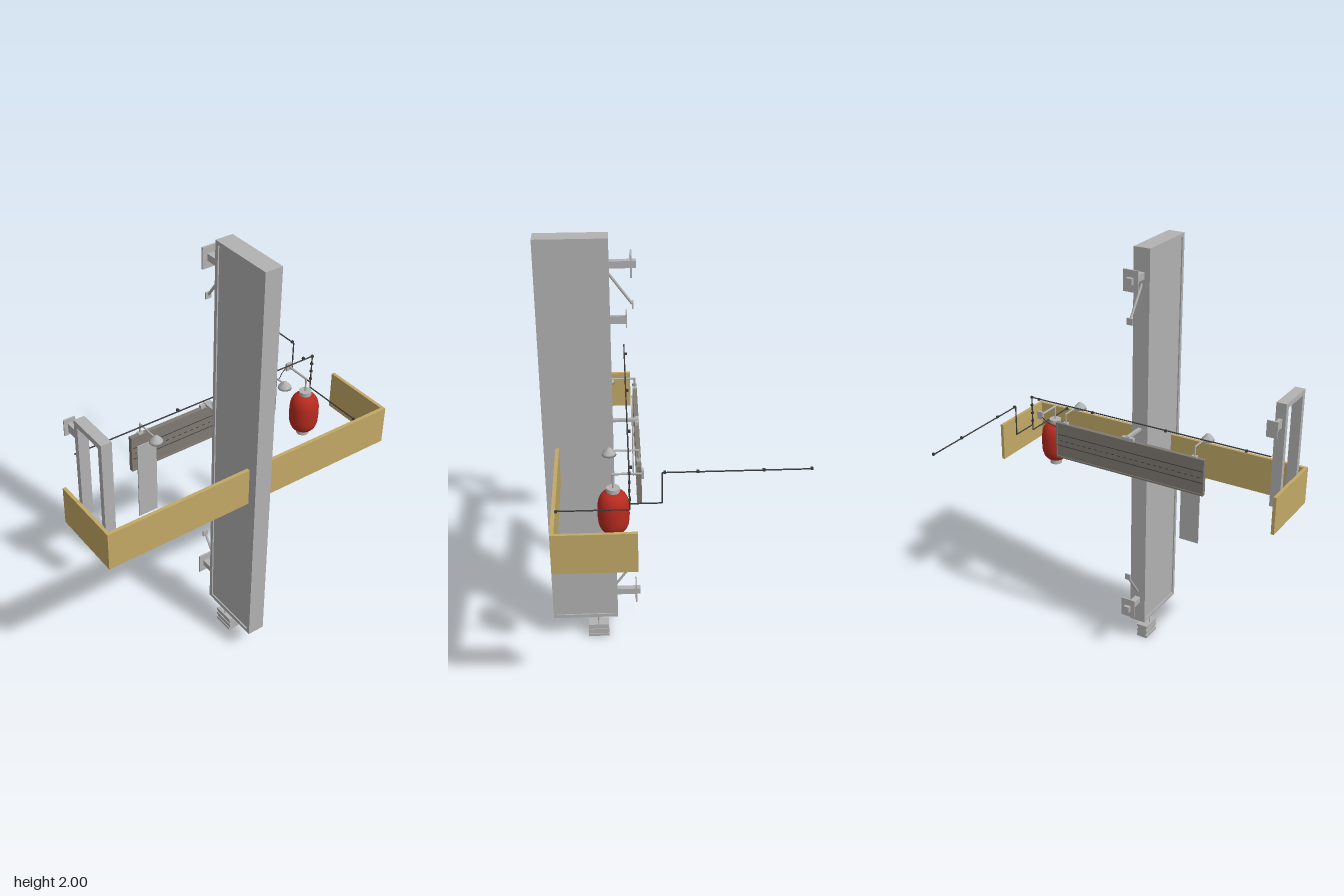
import * as THREE from 'three';

export function createModel() {
  const root = new THREE.Group();
  const mat = (name, color, side = THREE.FrontSide) => {
    const m = new THREE.MeshStandardMaterial({ color, side });
    m.name = name;
    return m;
  };
  const grey = mat('light grey', 0xb2b2b2);
  const tan = mat('tan', 0xc2a966);
  const brown = mat('warm grey', 0x807a72);
  const red = mat('red', 0xb72b1f);
  const dark = mat('dark grey', 0x3c3c3c);

  const add = (name, geo, m, parent = root) => {
    const mesh = new THREE.Mesh(geo, m);
    mesh.name = name;
    parent.add(mesh);
    return mesh;
  };
  // Box given by its extents on each axis
  const box = (name, x, y, z, m, parent) => {
    const mesh = add(name, new THREE.BoxGeometry(x[1] - x[0], y[1] - y[0], z[1] - z[0]), m, parent);
    mesh.position.set((x[0] + x[1]) / 2, (y[0] + y[1]) / 2, (z[0] + z[1]) / 2);
    return mesh;
  };
  // Straight round bar between two points
  const rod = (name, a, b, r, m, parent) => {
    const p = new THREE.Vector3(...a), q = new THREE.Vector3(...b), d = q.clone().sub(p);
    const mesh = add(name, new THREE.CylinderGeometry(r, r, d.length(), 8), m, parent);
    mesh.position.copy(p).add(q).multiplyScalar(0.5);
    mesh.quaternion.setFromUnitVectors(new THREE.Vector3(0, 1, 0), d.normalize());
    return mesh;
  };
  // Rectangular frame lying in the z-y plane, extruded along x
  const frame = (name, x, y, z, t, m) => {
    const rect = (P, k) => {
      const p = new P();
      p.moveTo(-z[1] + k, y[0] + k);
      p.lineTo(-z[0] - k, y[0] + k);
      p.lineTo(-z[0] - k, y[1] - k);
      p.lineTo(-z[1] + k, y[1] - k);
      p.closePath();
      return p;
    };
    const s = rect(THREE.Shape, 0);
    s.holes.push(rect(THREE.Path, t));
    const g = new THREE.ExtrudeGeometry(s, { depth: x[1] - x[0], bevelEnabled: false });
    g.rotateY(Math.PI / 2);
    g.translate(x[0], 0, 0);
    return add(name, g, m);
  };

  // Tall double-sided sign: rim with recessed faces
  frame('signRim', [-0.04, 0.04], [0.125, 2], [0.24, 0.545], 0.017, grey);
  box('signPanel', [-0.034, 0.034], [0.14, 1.985], [0.255, 0.53], grey);

  // Small ribbed box hanging below the sign
  for (let i = 0; i < 5; i++) {
    const w = i % 2 ? 0.023 : 0.027;
    box('hangingBoxRib', [-w, w], [i * 0.0136, (i + 1) * 0.0136], [0.285, 0.382], grey);
  }
  for (const s of [-1, 1]) {
    rod('hangingWire', [s * 0.016, 0.065, 0.333], [s * 0.016, 0.13, 0.333], 0.003, grey);
  }

  // Wall brackets, top and bottom mirrored
  for (const s of [-1, 1]) {
    const Y = (d) => 1.065 + s * d;
    const span = (a, b) => [Math.min(Y(a), Y(b)), Math.max(Y(a), Y(b))];
    const g = new THREE.Group();
    g.name = 'wallBracket';
    root.add(g);
    box('bracketArm', [-0.014, 0.014], span(0.8, 0.83), [0.13, 0.24], grey, g);
    box('bracketPlate', [-0.036, 0.036], span(0.766, 0.862), [0.147, 0.154], grey, g);
    rod('bracketBrace', [0, Y(0.778), 0.245], [0, Y(0.642), 0.148], 0.006, grey, g);
    box('bracePlate', [-0.014, 0.014], span(0.622, 0.652), [0.142, 0.148], grey, g);
  }

  // Band around the front and both ends
  box('frontBand', [-0.72, 0.72], [0.87, 1.05], [0.478, 0.494], tan);
  for (const s of [-1, 1]) {
    const x = s * 0.7125;
    box('sideBand', [x - 0.0075, x + 0.0075], [0.87, 1.05], [0.152, 0.48], tan);
  }

  // Long panel on the wall, with rails, seams and end caps
  box('wallPanel', [-0.38, 0.378], [0.98, 1.145], [0.131, 0.143], brown);
  for (const y of [0.975, 1.142]) box('panelRail', [-0.385, 0.382], [y, y + 0.008], [0.127, 0.147], brown);
  for (const x of [-0.385, 0.376]) box('panelEnd', [x, x + 0.006], [0.975, 1.15], [0.127, 0.147], brown);
  for (const y of [1.035, 1.09]) box('panelSeam', [-0.379, 0.377], [y, y + 0.003], [0.13, 0.144], dark);
  for (let i = 0; i < 24; i++) {
    const x = -0.365 + i * 0.031;
    box('panelSlot', [x, x + 0.015], [1.06, 1.063], [0.13, 0.144], dark);
  }
  box('panelMount', [-0.03, 0.03], [1.148, 1.165], [0.127, 0.145], grey);
  box('panelArm', [-0.008, 0.008], [1.158, 1.17], [0.13, 0.245], grey);
  box('hangingPlate', [-0.36, -0.266], [0.72, 1.1], [0.148, 0.153], grey);

  // Two lamps on bent arms
  for (const x of [-0.335, 0.332]) {
    const g = new THREE.Group();
    g.name = 'lamp';
    root.add(g);
    box('lampFoot', [x - 0.012, x + 0.012], [1.148, 1.158], [0.128, 0.146], grey, g);
    rod('lampPost', [x, 1.15, 0.137], [x, 1.203, 0.137], 0.004, grey, g);
    rod('lampArm', [x, 1.2, 0.135], [x, 1.2, 0.258], 0.004, grey, g);
    const profile = [[0, 1.182], [0.03, 1.182], [0.027, 1.192], [0.008, 1.213], [0, 1.216]];
    const shade = add('lampShade', new THREE.LatheGeometry(profile.map((p) => new THREE.Vector2(...p)), 20), grey, g);
    shade.position.set(x, 0, 0.258);
  }

  // Red lantern with collars and holder
  const body = [[0.024, 0.895], [0.046, 0.908], [0.059, 0.93], [0.065, 0.962], [0.065, 1.022],
    [0.059, 1.054], [0.046, 1.076], [0.024, 1.09]];
  const curve = new THREE.SplineCurve(body.map((p) => new THREE.Vector2(...p)));
  add('lanternBody', new THREE.LatheGeometry(curve.getPoints(28), 28), red).position.set(0.465, 0, 0.245);
  for (const y of [0.888, 1.095]) {
    add('lanternCollar', new THREE.CylinderGeometry(0.028, 0.028, 0.022, 20), grey).position.set(0.465, y, 0.245);
  }
  rod('lanternStem', [0.465, 1.1, 0.245], [0.465, 1.172, 0.245], 0.004, grey);
  rod('lanternArm', [0.465, 1.168, 0.122], [0.465, 1.168, 0.25], 0.005, grey);
  box('lanternMount', [0.45, 0.48], [1.15, 1.187], [0.12, 0.13], grey);
  const cable = new THREE.CatmullRomCurve3([[0.376, 1.125, 0.133], [0.405, 1.13, 0.133],
    [0.43, 1.145, 0.122], [0.455, 1.165, 0.122]].map((p) => new THREE.Vector3(...p)));
  add('lanternCable', new THREE.TubeGeometry(cable, 16, 0.002, 6), dark);

  // Upright open frame at the right end, with its wall mount
  frame('openFrame', [-0.697, -0.65], [0.95, 1.44], [0.245, 0.442], 0.024, grey);
  box('frameArm', [-0.682, -0.665], [1.33, 1.37], [0.165, 0.25], grey);
  box('framePlate', [-0.699, -0.648], [1.315, 1.39], [0.162, 0.168], grey);

  // Thin conduit run with clamps
  const run = [[-0.67, 1.22, 0.18], [0.55, 1.22, 0.18], [0.55, 1.08, 0.18], [0.55, 1.08, 0.05],
    [0.55, 1.22, 0.05], [0.55, 1.22, -0.545]];
  for (let i = 1; i < run.length; i++) rod('conduit', run[i - 1], run[i], 0.003, dark);
  rod('conduitDrop', [0.55, 1.08, 0.18], [0.55, 1.053, 0.18], 0.003, dark);
  rod('conduitBranch', [0.55, 1.053, 0.18], [0.55, 1.053, 0.48], 0.003, dark);
  const clamp = (x, y, z) => box('conduitClamp', [x - 0.005, x + 0.005], [y - 0.005, y + 0.005], [z - 0.005, z + 0.005], dark);
  for (const x of [-0.56, -0.17, 0.21, 0.505]) clamp(x, 1.222, 0.172);
  for (const z of [-0.54, -0.35, -0.09, 0.04]) clamp(0.55, 1.222, z);
  for (const y of [1.1, 1.14, 1.18, 1.22]) clamp(0.55, y, 0.18);
  clamp(0.55, 1.053, 0.474);

  return root;
}
